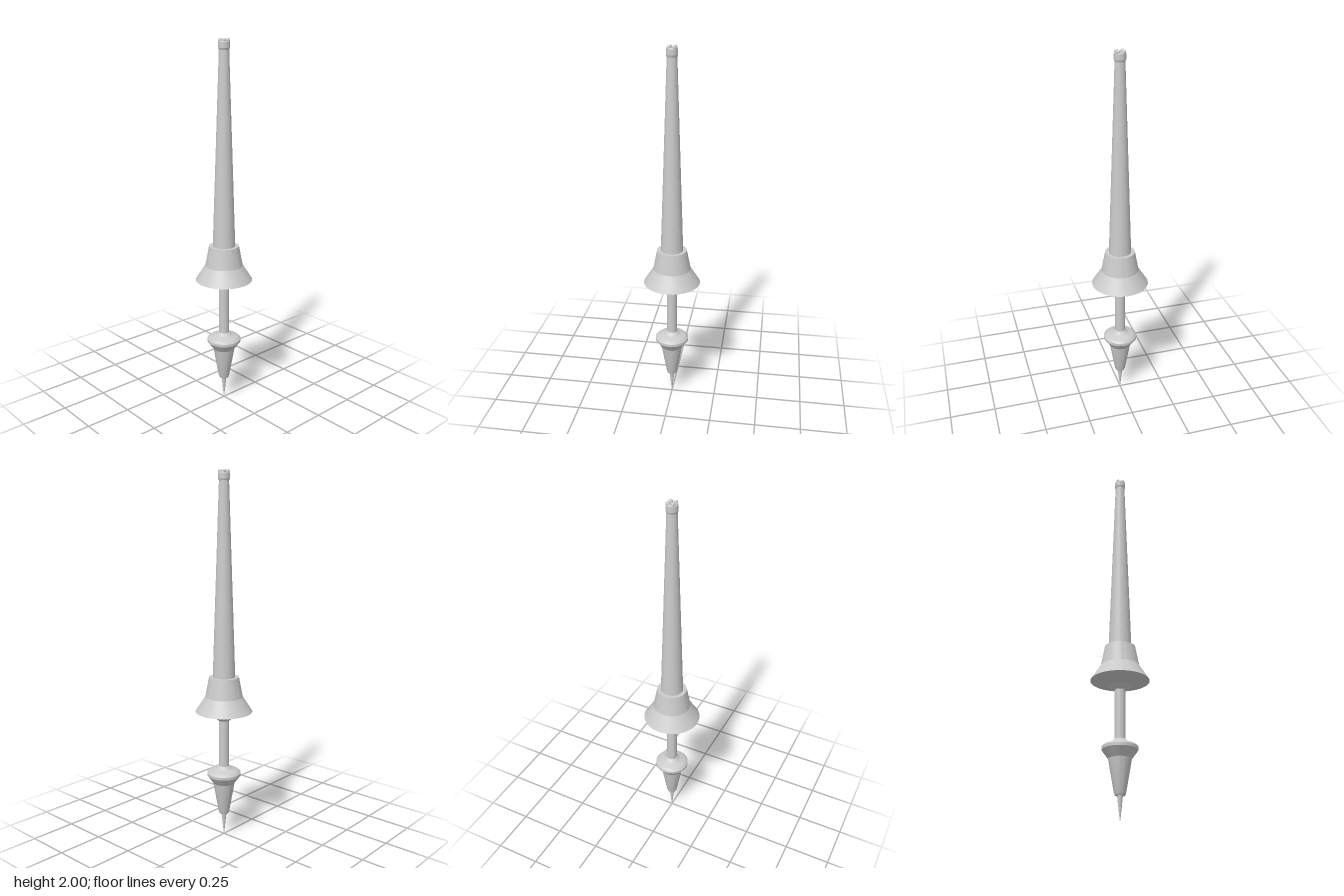
import * as THREE from 'three';
import { toCreasedNormals } from 'three/addons/utils/BufferGeometryUtils.js';

const grey = new THREE.MeshStandardMaterial({ color: 0xcccccc });
const faceted = new THREE.MeshStandardMaterial({ color: 0xcccccc, flatShading: true });

// Solid of revolution from [radius, height] pairs, bottom to top
function turned(name, profile, sides = 48, material = grey) {
  const points = profile.map(([r, y]) => new THREE.Vector2(r, y));
  const geometry = toCreasedNormals(new THREE.LatheGeometry(points, sides), 0.3);
  const mesh = new THREE.Mesh(geometry, material);
  mesh.name = name;
  return mesh;
}

export function createModel() {
  const model = new THREE.Group();
  model.name = 'spindle';

  // Needle point at the foot
  model.add(turned('needle', [[0, 0], [0.004, 0.03], [0.013, 0.115], [0.015, 0.135], [0, 0.135]], 24));

  // Tapered pommel with a rounded collar
  model.add(turned('pommel', [
    [0, 0.128], [0.025, 0.128], [0.03, 0.14], [0.06, 0.31], [0.093, 0.355],
    [0.093, 0.37], [0.08, 0.382], [0.045, 0.395], [0.029, 0.41], [0, 0.41],
  ]));

  // Grip rod
  model.add(turned('grip', [[0.028, 0.4], [0.028, 0.69]], 32));

  // Flared bell guard
  model.add(turned('guard', [
    [0, 0.672], [0.032, 0.672], [0.06, 0.695], [0.155, 0.722],
    [0.102, 0.805], [0.081, 0.915], [0, 0.915],
  ], 64));

  // Long faceted taper
  model.add(turned('shaft', [[0.061, 0.91], [0.026, 1.95]], 32, faceted));

  // End cap with four studs
  model.add(turned('cap', [[0, 1.943], [0.026, 1.943], [0.03, 1.953], [0.03, 1.982], [0.027, 1.988], [0, 1.988]], 32));
  const studGeometry = new THREE.SphereGeometry(0.0105, 20, 14);
  for (const x of [-0.0145, 0.0145]) {
    for (const z of [-0.0145, 0.0125]) {
      const stud = new THREE.Mesh(studGeometry, grey);
      stud.name = 'stud';
      stud.position.set(x, 1.9895, z);
      model.add(stud);
    }
  }
  return model;
}
